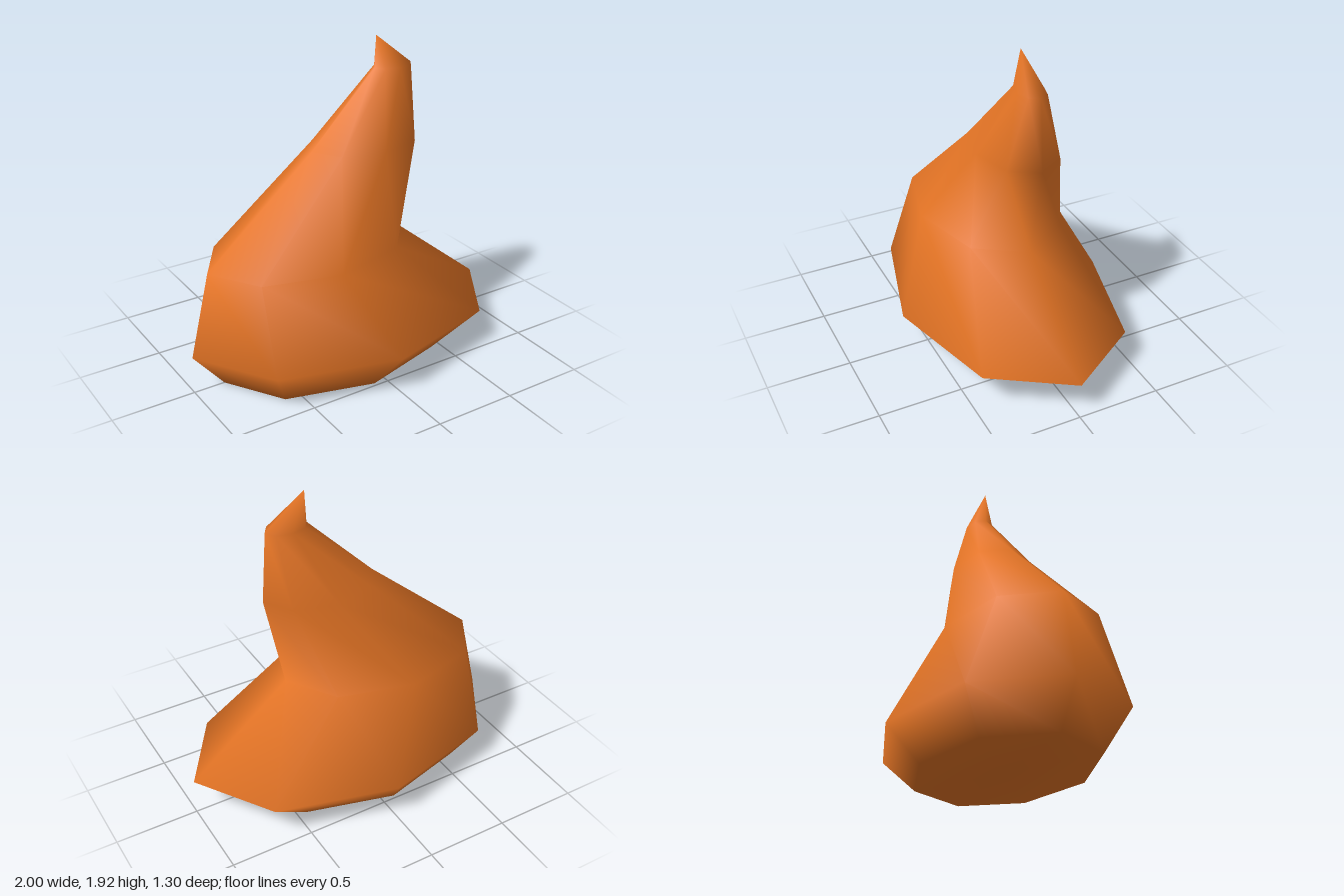
import * as THREE from 'three';

const orange = new THREE.MeshStandardMaterial({ color: 0xe67525, side: THREE.DoubleSide });
orange.name = 'orange';

// Closed smooth skin over eight-sided elliptical rings, ending in a point
function loft(rings, tip, sides) {
  const pos = [], index = [];
  for (const [y, left, right, halfDepth] of rings) {
    const cx = (left + right) / 2, rx = (right - left) / 2;
    for (let i = 0; i < sides; i++) {
      const a = (i / sides) * Math.PI * 2;
      pos.push(cx + rx * Math.cos(a), y, halfDepth * Math.sin(a));
    }
  }
  const tipId = pos.length / 3, baseId = tipId + 1;
  pos.push(...tip, (rings[0][1] + rings[0][2]) / 2, rings[0][0], 0);

  const top = (rings.length - 1) * sides;
  for (let i = 0; i < sides; i++) {
    const j = (i + 1) % sides;
    for (let r = 0; r < top; r += sides) {
      const a = r + i, b = r + j, c = a + sides, d = b + sides;
      index.push(a, c, d, a, d, b);
    }
    index.push(top + i, tipId, top + j); // pointed end
    index.push(i, j, baseId); // underside
  }

  const geo = new THREE.BufferGeometry();
  geo.setAttribute('position', new THREE.Float32BufferAttribute(pos, 3));
  geo.setIndex(index);
  geo.computeVertexNormals();
  return geo;
}

export function createModel() {
  const group = new THREE.Group();
  group.name = 'curledCone';

  // Each ring: height, left x, right x, half depth
  const rings = [
    [0, -0.81, 0.65, 0.48],
    [0.23, -1, 1, 0.65],
    [0.73, -0.88, 0.38, 0.41],
    [1.31, -0.2, 0.5, 0.23],
    [1.73, 0.22, 0.47, 0.08],
  ];
  const body = new THREE.Mesh(loft(rings, [0.23, 1.92, 0], 8), orange);
  body.name = 'body';
  group.add(body);
  return group;
}
